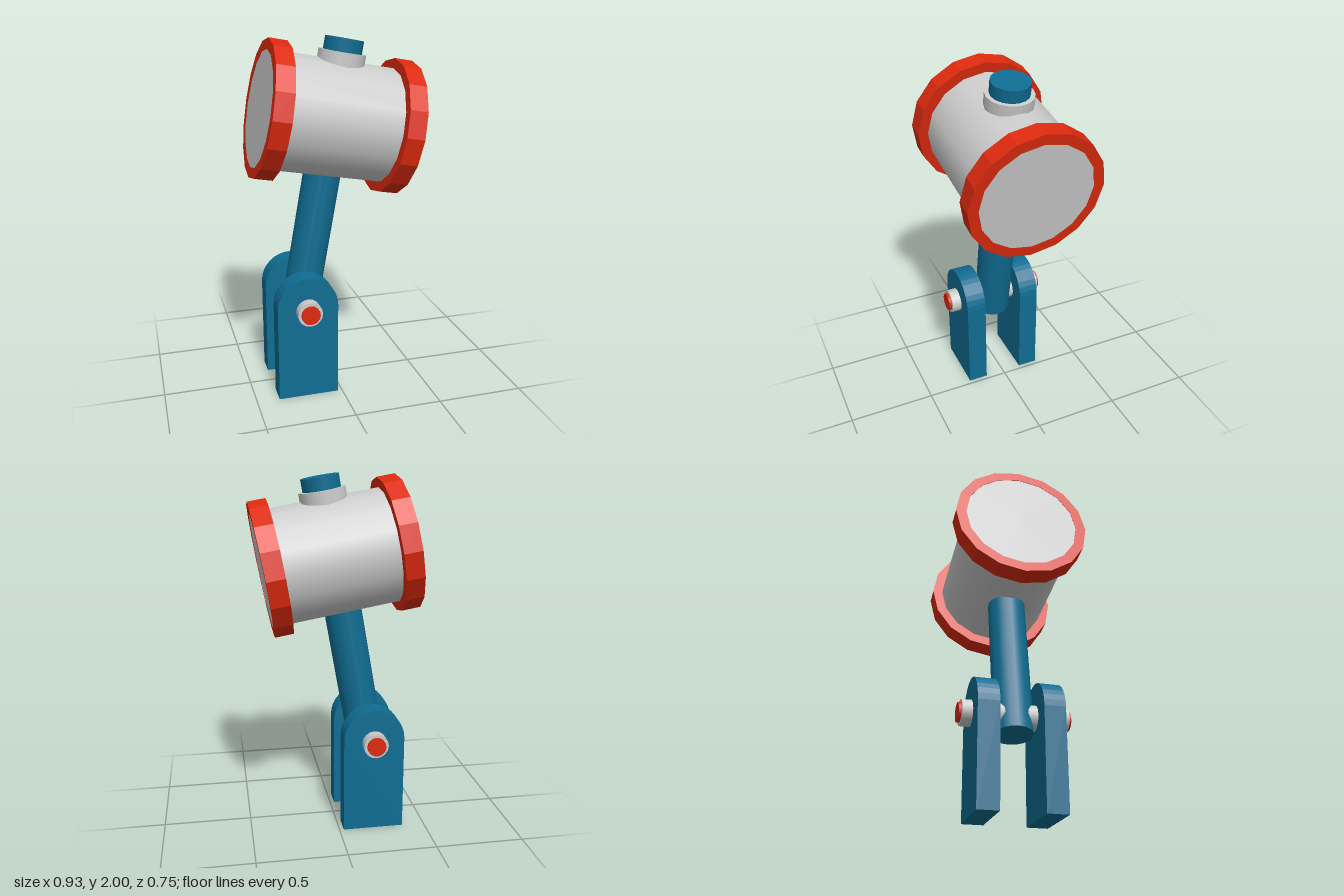
import * as THREE from 'three';

const SIDES = 16;
const grey = new THREE.MeshStandardMaterial({ color: 0xcccccc });
const blue = new THREE.MeshStandardMaterial({ color: 0x0f6d92 });
const red = new THREE.MeshStandardMaterial({ color: 0xdd2a0e });
const redFlat = new THREE.MeshStandardMaterial({ color: 0xdd2a0e, flatShading: true });

function add(parent, name, geometry, material) {
  const mesh = new THREE.Mesh(geometry, material);
  mesh.name = name;
  parent.add(mesh);
  return mesh;
}

// Upright cylinder running from y = bottom to y = top
function rod(radius, bottom, top) {
  return new THREE.CylinderGeometry(radius, radius, top - bottom, SIDES)
    .translate(0, (bottom + top) / 2, 0);
}

// Faceted ring with a square section
function ring(inner, outer, width) {
  const h = width / 2;
  const profile = [[inner, -h], [outer, -h], [outer, h], [inner, h], [inner, -h]];
  return new THREE.LatheGeometry(profile.map(([x, y]) => new THREE.Vector2(x, y)), SIDES);
}

// Upright plate with a rounded top
function bracketPlate(halfWidth, shoulder, depth) {
  const shape = new THREE.Shape();
  shape.moveTo(-halfWidth, 0);
  shape.lineTo(halfWidth, 0);
  shape.lineTo(halfWidth, shoulder);
  shape.absarc(0, shoulder, halfWidth, 0, Math.PI, false);
  shape.closePath();
  return new THREE.ExtrudeGeometry(shape, { depth, bevelEnabled: false, curveSegments: 8 })
    .translate(0, 0, -depth / 2);
}

export function createModel() {
  const model = new THREE.Group();
  model.name = 'hammer';
  const pivotX = -0.198, pivotY = 0.53;

  // Fixed base: two plates joined by the pivot pin
  const base = new THREE.Group();
  base.name = 'base';
  base.position.x = pivotX;
  model.add(base);
  for (const side of [1, -1]) {
    add(base, side > 0 ? 'frontPlate' : 'backPlate', bracketPlate(0.173, 0.548, 0.115), blue)
      .position.z = side * 0.172;
  }
  add(base, 'pivotPin', rod(0.07, -0.285, 0.285).rotateX(Math.PI / 2), grey).position.y = pivotY;
  add(base, 'pinCore', rod(0.053, -0.3, 0.3).rotateX(Math.PI / 2), red).position.y = pivotY;

  // Tilted arm: handle, drum-shaped head, end bands and collar
  const arm = new THREE.Group();
  arm.name = 'arm';
  arm.position.set(pivotX, pivotY, 0);
  arm.rotation.z = THREE.MathUtils.degToRad(-10);
  model.add(arm);
  add(arm, 'handle', rod(0.106, -0.098, 1.48).translate(0.015, 0, 0), blue);
  add(arm, 'collar', rod(0.13, 1.3, 1.41).translate(0.015, 0, 0), grey);

  const head = new THREE.Group();
  head.name = 'head';
  head.position.set(0.015, 1.045, 0);
  arm.add(head);
  add(head, 'drum', rod(0.32, -0.406, 0.406).rotateZ(Math.PI / 2), grey);
  for (const side of [1, -1]) {
    add(head, side > 0 ? 'leftBand' : 'rightBand', ring(0.318, 0.376, 0.102).rotateZ(Math.PI / 2), redFlat)
      .position.x = side * 0.357;
  }
  return model;
}
